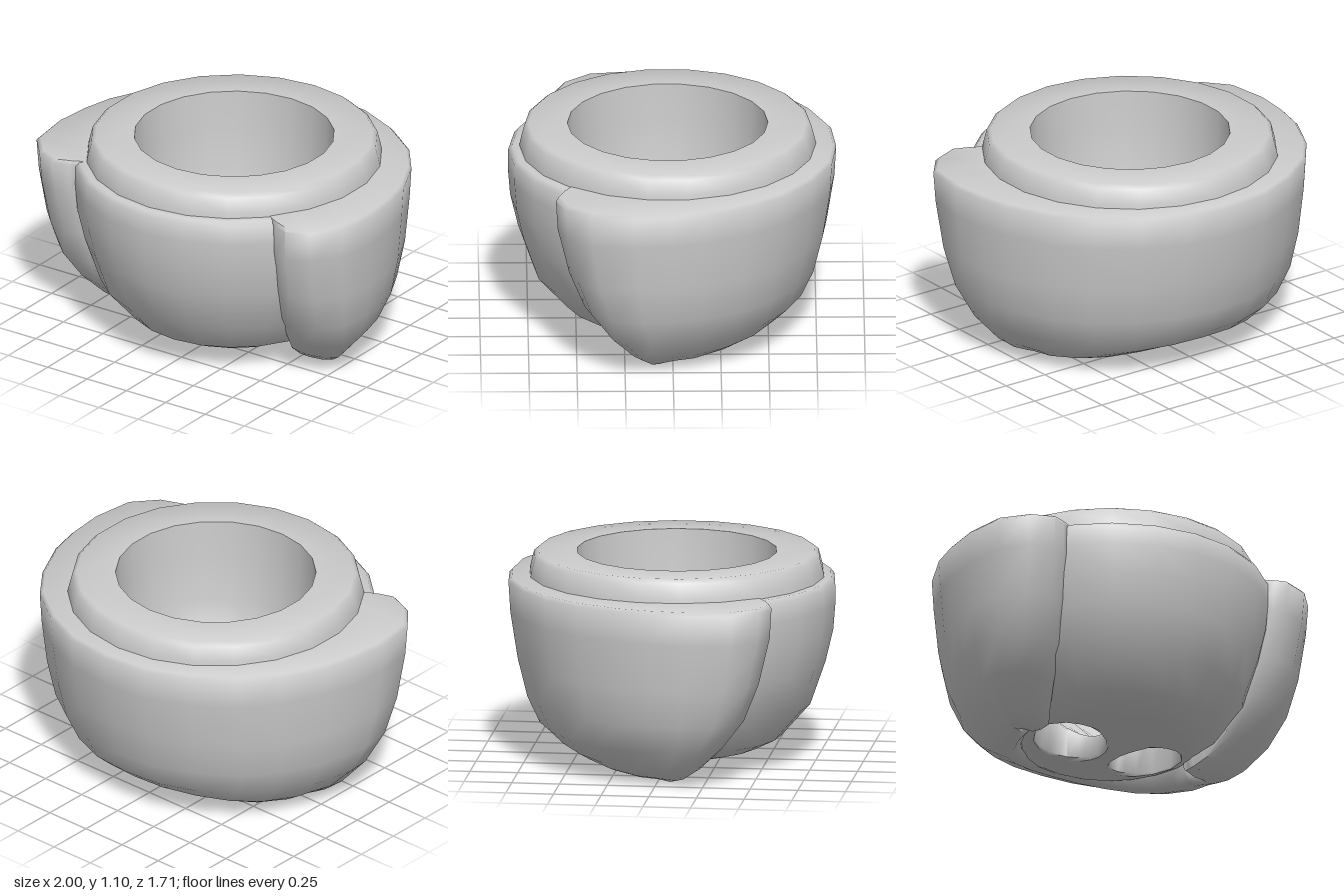
import * as THREE from 'three';
import { mergeGeometries, toCreasedNormals } from 'three/addons/utils/BufferGeometryUtils.js';

const SEG = 22, AXIS_Z = 0.022, CREASE = 1.05;
const BASE_R = 0.44, HOLE_R = 0.19, HOLE_X = 0.235, HOLE_Z = -0.018;

// Heights of the underside and of the cavity floor near the axis
const bowed = (x, z, y0, rise) => y0 + rise * (x * x + z * z) / (BASE_R * BASE_R);
const underY = (x, z) => bowed(x, z, 0.01, 0.065);
const floorY = (x, z) => bowed(x, z, 0.13, 0.3);

// Skin between successive loops of [x, y, z] points
function loft(loops) {
  const n = loops[0].length, index = [];
  for (let i = 0; i < loops.length - 1; i++) {
    for (let j = 0; j < n - 1; j++) {
      const a = i * n + j, b = a + 1, d = a + n, c = d + 1;
      index.push(a, b, c, a, c, d);
    }
  }
  const g = new THREE.BufferGeometry();
  g.setAttribute('position', new THREE.Float32BufferAttribute(loops.flat(2), 3));
  g.setIndex(index);
  return g;
}

// Merge pieces, smooth within the crease angle
function finish(pieces, name) {
  const plain = pieces.map((g) => {
    const p = g.toNonIndexed();
    p.deleteAttribute('uv');
    p.deleteAttribute('normal');
    return p;
  });
  const geo = toCreasedNormals(mergeGeometries(plain), CREASE);
  const mesh = new THREE.Mesh(geo, new THREE.MeshStandardMaterial({ color: 0xcccccc }));
  mesh.name = name;
  return mesh;
}

// Half of the pierced base: cavity floor, drain hole wall and underside
function halfBase(side) {
  // Half-disc border: round the rim from front to back, then forward along the middle
  const border = [];
  for (let i = 0; i <= SEG / 2; i++) {
    const a = (i / SEG) * Math.PI * 2;
    border.push([BASE_R * Math.sin(a), BASE_R * Math.cos(a)]);
  }
  [-0.22, -0.12, -0.04, 0.04, 0.12, 0.22, BASE_R].forEach((z) => border.push([0, z]));
  // Ring at fraction t between the hole's edge (0) and the border (1)
  const ring = (t, height, drop = 0) => {
    const pts = border.map(([bx, bz]) => {
      const dx = bx - HOLE_X, dz = bz - HOLE_Z, k = HOLE_R / Math.hypot(dx, dz);
      const f = k + (1 - k) * t;
      const x = HOLE_X + dx * f, z = HOLE_Z + dz * f;
      return [side * x, height(x, z) + drop, z];
    });
    return side > 0 ? pts : pts.reverse();
  };
  return loft([
    ...[1, 0.66, 0.33, 0.1].map((t) => ring(t, floorY)),
    ring(0, floorY, -0.015), ring(0, underY, 0.015),
    ...[0.1, 0.33, 0.66, 1].map((t) => ring(t, underY)),
  ]);
}

function makeBowl() {
  // Outer wall, ledge, collar, rim and cavity wall in one profile
  const profile = [
    [BASE_R, underY(BASE_R, 0)], [0.55, 0.13], [0.7, 0.3], [0.78, 0.53], [0.82, 0.7],
    [0.832, 0.85], [0.83, 0.95], [0.81, 0.975], [0.772, 0.975], [0.768, 1.0],
    [0.748, 1.08], [0.725, 1.1], [0.522, 1.1], [0.512, 0.9], [0.49, 0.65],
    [BASE_R, floorY(BASE_R, 0)],
  ].map(([r, y]) => new THREE.Vector2(r, y));
  const bowl = finish([new THREE.LatheGeometry(profile, SEG), halfBase(1), halfBase(-1)], 'bowl');
  bowl.position.z = AXIS_Z;
  return bowl;
}

function makeWrap() {
  // Half plan outline at the top: arm end, side, middle of the back
  const half = [
    [0.6, 0.46], [0.61, 0.555], [0.66, 0.582], [0.735, 0.61], [0.86, 0.56], [0.97, 0.43],
    [1, 0.2], [0.98, 0], [0.94, -0.17], [0.83, -0.4], [0.69, -0.58], [0.48, -0.73],
    [0.25, -0.83], [0, -0.855],
  ];
  const outline = [...half, ...half.slice(0, -1).reverse().map(([x, z]) => [-x, z])];
  const last = outline.length - 1;
  // Levels: height, half width, back z, arm z, arm spread, extra height at the back
  const levels = [
    [0.14, 0.48, -0.42, 0.04, 1.25, 0],
    [0.05, 0.49, -0.43, 0.04, 1.25, 0.06],
    [0.008, 0.53, -0.47, 0.06, 1.3, 0.09],
    [0, 0.58, -0.51, 0.09, 1.22, 0.1],
    [0.02, 0.65, -0.56, 0.15, 1.18, 0.11],
    [0.07, 0.73, -0.62, 0.22, 1.13, 0.08],
    [0.19, 0.85, -0.69, 0.34, 1.05, 0.02],
    [0.35, 0.93, -0.755, 0.46, 1.01, 0],
    [0.55, 0.97, -0.805, 0.54, 1, 0],
    [0.8, 0.99, -0.845, 0.6, 1, 0],
    [0.962, 1, -0.855, 0.61, 1, 0],
    [0.98, 0.982, -0.838, 0.595, 1, 0],
    [0.98, 0.71, -0.64, 0.47, 1, 0],
  ];
  const loops = levels.map(([y, w, back, arm, spread, lift]) => outline.map(([px, pz], i) => {
    const front = Math.max(0, pz / 0.61), rear = Math.max(0, -pz / 0.855);
    const wide = Math.abs(px) * w * (1 + (spread - 1) * front * front);
    const isArm = front > 0.5;
    const x = isArm ? Math.max(wide, 0.455) : wide; // arm ends clear the drain holes
    let h = y + lift * rear * rear;
    if (isArm) h = Math.max(h, (0.52 - x) * 0.5); // rounded inner edge under the arms
    if (i === 0 || i === last) h = Math.max(h, 0.13); // ends stay buried in the bowl
    return [Math.sign(px) * x, h, front * arm + rear * back];
  }));
  return finish([loft(loops)], 'outerWrap');
}

export function createModel() {
  const model = new THREE.Group();
  model.name = 'socketCup';
  model.add(makeBowl(), makeWrap());
  return model;
}
